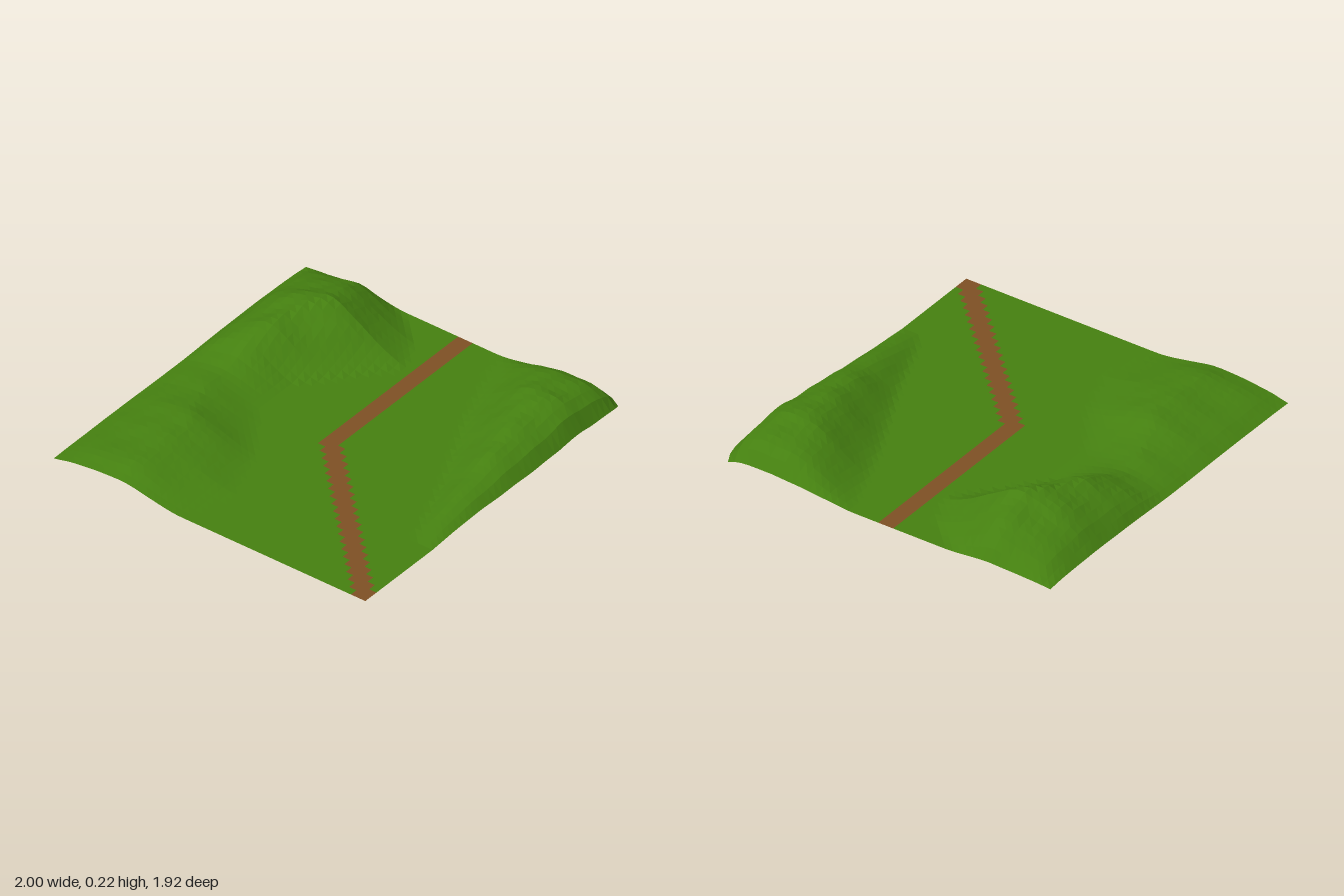
import * as THREE from 'three';

const NX = 45, NZ = 43, X0 = -1, Z0 = -0.96, DX = 0.044, DZ = 0.044;
const { smoothstep, lerp } = THREE.MathUtils;

// Piecewise linear profile through [position, value] points
function profile(points) {
  return (t) => {
    if (t <= points[0][0]) return points[0][1];
    for (let i = 1; i < points.length; i++) {
      const [a, va] = points[i - 1], [b, vb] = points[i];
      if (t <= b) return lerp(va, vb, (t - a) / (b - a));
    }
    return points[points.length - 1][1];
  };
}

// Back ridge: crest height, foot line and crest line along x
const backHeight = profile([[-1, 0.06], [-0.9, 0.085], [-0.6, 0.1], [-0.4, 0.1], [-0.2, 0.065], [0, 0.065],
  [0.1, 0.09], [0.2, 0.14], [0.32, 0.18], [0.5, 0.205], [0.62, 0.23], [0.7, 0.2], [0.8, 0.165], [0.9, 0.12], [0.98, 0.025]]);
const backFoot = profile([[-1, -0.2], [-0.7, -0.1], [-0.4, -0.2], [-0.1, -0.4], [0.2, -0.42],
  [0.4, -0.26], [0.62, -0.08], [0.8, -0.16], [0.98, -0.36]]);
const backCrest = profile([[-1, -0.58], [-0.5, -0.55], [-0.1, -0.72], [0.2, -0.72], [0.4, -0.65], [0.62, -0.57], [0.98, -0.6]]);
const backFall = profile([[0, 1], [0.45, 0.72], [0.75, 0.45], [1, 0.08]]);

// Front corner hill
const frontHeight = profile([[-0.47, 0], [-0.35, 0.03], [-0.2, 0.06], [0, 0.095], [0.15, 0.125], [0.35, 0.16],
  [0.5, 0.175], [0.68, 0.198], [0.8, 0.165], [0.9, 0.14], [0.95, 0.105], [0.98, 0.055]]);
const frontFoot = profile([[-0.45, 0.8], [0, 0.62], [0.2, 0.52], [0.5, 0.38], [0.98, 0.2]]);
const frontCrest = profile([[-0.45, 0.87], [0.2, 0.82], [0.68, 0.74], [0.98, 0.66]]);
const frontFall = profile([[0.78, 1], [0.86, 0.86], [0.895, 0.68], [0.932, 0.3]]);

// Gentle folds that break up the slopes
const folds = (x, z) => 1 + 0.05 * Math.sin(13 * x + 7 * z) * Math.sin(11 * z - 5 * x)
  + 0.04 * Math.sin(27 * x - 16 * z) * Math.sin(19 * z + 3);

function surfacePoint(i, j) {
  const x = X0 + i * DX, z = Z0 + j * DZ;
  let back = 0, front = 0;
  if (z < 0) {
    const foot = backFoot(x), crest = backCrest(x);
    const rise = lerp(smoothstep(z, crest, foot), THREE.MathUtils.clamp((z - crest) / (foot - crest), 0, 1), 0.4);
    back = backHeight(x) * (1 - rise);
    if (z < crest) back *= backFall((crest - z) / (crest - Z0));
  } else {
    front = frontHeight(x) * Math.pow(smoothstep(z, frontFoot(x), frontCrest(x)), 0.8) * frontFall(z);
  }
  const y = (back + front) * folds(x, z);
  // The rims of the hills bulge slightly outward
  const rimX = smoothstep(x, 0.88, 0.98), rimZ = smoothstep(z, 0.84, 0.932);
  return [
    x + 0.016 * rimX * smoothstep(y, 0, 0.05),
    y,
    z + 0.028 * rimZ * smoothstep(frontHeight(x), 0.04, 0.17),
  ];
}

// Trail cells: straight stretch, then a stepped diagonal to the corner
function isTrail(i, j) {
  if (j === 21) return i >= 20;
  if (j === 22) return i >= 19;
  return j > 22 && Math.abs(i + j - 42) <= 1;
}

function cellMesh(name, color, keep) {
  const positions = [], index = [];
  for (let j = 0; j <= NZ; j++) for (let i = 0; i <= NX; i++) positions.push(...surfacePoint(i, j));
  for (let j = 0; j < NZ; j++) {
    for (let i = 0; i < NX; i++) {
      if (!keep(i, j)) continue;
      const a = j * (NX + 1) + i, b = a + 1, c = a + NX + 1, d = c + 1;
      index.push(a, c, b, b, c, d);
    }
  }
  const indexed = new THREE.BufferGeometry();
  indexed.setAttribute('position', new THREE.Float32BufferAttribute(positions, 3));
  indexed.setIndex(index);
  const geometry = indexed.toNonIndexed();
  geometry.computeVertexNormals();
  const mesh = new THREE.Mesh(geometry, new THREE.MeshStandardMaterial({ color, flatShading: true, side: THREE.DoubleSide }));
  mesh.name = name;
  return mesh;
}

export function createModel() {
  const group = new THREE.Group();
  group.name = 'terrain';
  group.add(cellMesh('grassland', 0x458010, (i, j) => !isTrail(i, j)));
  group.add(cellMesh('dirtTrail', 0x7d5024, isTrail));
  return group;
}
